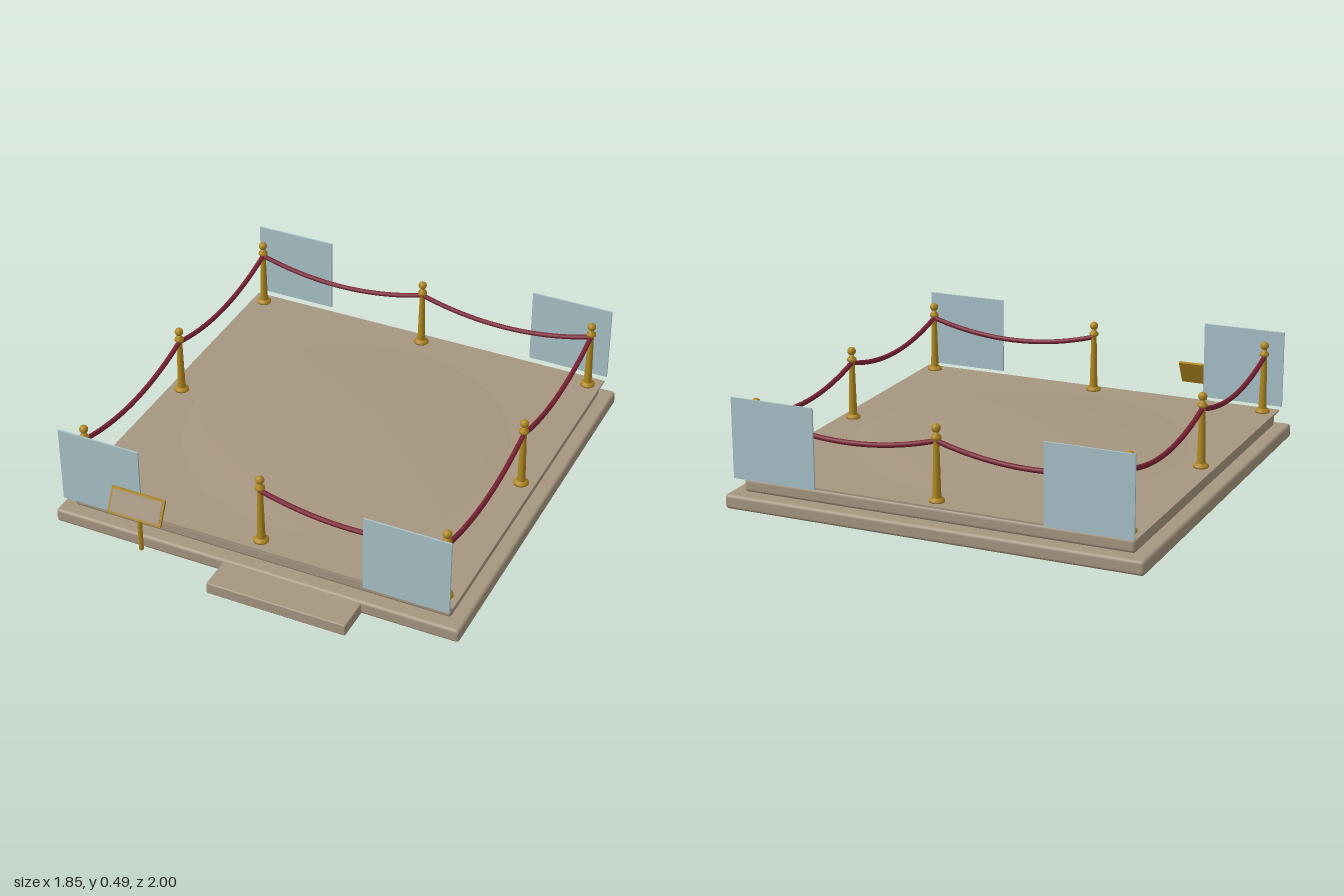
import * as THREE from 'three';
import { RoundedBoxGeometry } from 'three/addons/geometries/RoundedBoxGeometry.js';

const material = (name, color) => {
  const m = new THREE.MeshStandardMaterial({ color });
  m.name = name;
  return m;
};

export function createModel() {
  const root = new THREE.Group();
  root.name = 'ropedDisplayPlatform';
  const stone = material('sandstone', 0xa69680);
  const gold = material('brass', 0xb08820);
  const red = material('ropeRed', 0x7a2234);
  const glass = material('paleGlass', 0xa9c3ca);
  const dark = material('darkUnderside', 0x343434);
  const CZ = -0.075; // platform centre in z

  const add = (name, geo, mat, x, y, z, parent = root) => {
    const mesh = new THREE.Mesh(geo, mat);
    mesh.name = name;
    mesh.position.set(x, y, z);
    parent.add(mesh);
    return mesh;
  };
  const box = (w, h, d) => new THREE.BoxGeometry(w, h, d);

  // Stepped platform
  add('baseSlab', new RoundedBoxGeometry(1.85, 0.063, 1.85, 3, 0.015), stone, 0, 0.0365, CZ);
  add('upperSlab', new RoundedBoxGeometry(1.73, 0.06, 1.73, 3, 0.015), stone, 0, 0.098, CZ);
  add('topPlate', box(1.76, 0.008, 1.76), stone, 0, 0.136, CZ);
  add('plateCore', box(1.68, 0.01, 1.68), stone, 0, 0.13, CZ);
  add('frontStep', new RoundedBoxGeometry(0.625, 0.053, 0.18, 2, 0.006), stone, 0.1875, 0.0315, 0.91);
  add('undersidePlate', box(1.12, 0.008, 0.4), dark, 0, 0.004, CZ);

  // Low round mound on the deck
  const moundProfile = [[0.72, 0], [0.69, 0.003], [0.62, 0.008], [0.5, 0.015], [0.35, 0.022], [0.18, 0.026], [0, 0.027]];
  add('mound', new THREE.LatheGeometry(moundProfile.map(([r, y]) => new THREE.Vector2(r, y)), 64),
    stone, 0, 0.14, CZ);

  // Brass posts, in order around the deck
  const postProfile = [[0, 0], [0.033, 0], [0.033, 0.008], [0.024, 0.016], [0.018, 0.02], [0.0125, 0.245],
    [0.0125, 0.258], [0.021, 0.264], [0.021, 0.274], [0.012, 0.282], [0.009, 0.295], [0, 0.295]]
    .map(([r, y]) => new THREE.Vector2(r, y));
  const postGeo = new THREE.LatheGeometry(postProfile, 20);
  const ballGeo = new THREE.SphereGeometry(0.019, 18, 12);
  const spots = [[0, 0.82], [0.82, 0.82], [0.82, 0], [0.82, -0.82], [0, -0.82], [-0.82, -0.82], [-0.82, 0], [-0.82, 0.82]];
  spots.forEach(([x, z]) => {
    const post = new THREE.Group();
    post.name = 'post';
    post.position.set(x, 0.14, z + CZ);
    add('postShaft', postGeo, gold, 0, 0, 0, post);
    add('postBall', ballGeo, gold, 0, 0.308, 0, post);
    root.add(post);
  });

  // Sagging ropes between neighbours, leaving the entrance open
  for (let i = 0; i < spots.length - 1; i++) {
    const a = new THREE.Vector3(spots[i][0], 0.395, spots[i][1] + CZ);
    const b = new THREE.Vector3(spots[i + 1][0], 0.395, spots[i + 1][1] + CZ);
    const mid = a.clone().add(b).multiplyScalar(0.5);
    mid.y -= 0.125;
    add('rope', new THREE.TubeGeometry(new THREE.QuadraticBezierCurve3(a, mid, b), 24, 0.011, 10), red, 0, 0, 0);
  }

  // Glass panels at the four corners
  for (const x of [-0.692, 0.692])
    for (const z of [0.843, -0.987]) add('glassPanel', box(0.376, 0.347, 0.008), glass, x, 0.3165, z);

  // Tilted sign on a slim stand
  add('signStand', new THREE.CylinderGeometry(0.01, 0.01, 0.2, 12), gold, -0.505, 0.105, 0.862);
  const sign = new THREE.Group();
  sign.name = 'sign';
  sign.position.set(-0.505, 0.24, 0.878);
  sign.rotation.x = -0.46;
  add('signFrame', box(0.25, 0.115, 0.012), gold, 0, 0, 0, sign);
  add('signFace', box(0.232, 0.098, 0.006), stone, 0, 0, 0.0055, sign);
  root.add(sign);

  return root;
}
